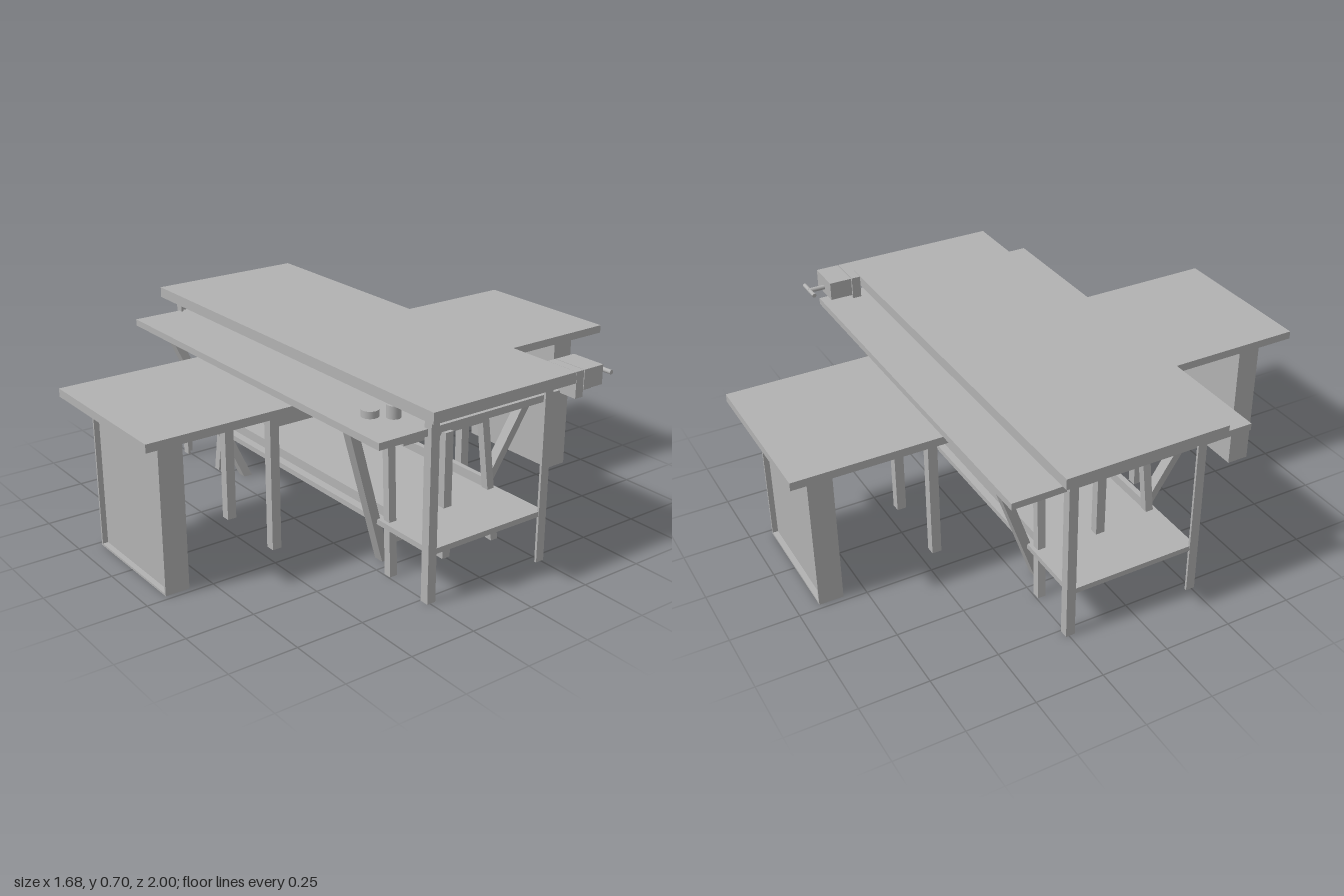
import * as THREE from 'three';

export function createModel() {
  const model = new THREE.Group();
  const grey = new THREE.MeshStandardMaterial({ color: 0xb2b2b2 });
  grey.name = 'plain grey';
  const signs = [-1, 1];

  function group(name) {
    const g = new THREE.Group();
    g.name = name;
    model.add(g);
    return g;
  }
  function add(parent, name, geometry) {
    const m = new THREE.Mesh(geometry, grey);
    m.name = name;
    parent.add(m);
    return m;
  }
  // box given by its limits on each axis
  function box(parent, name, x0, x1, y0, y1, z0, z1) {
    const m = add(parent, name, new THREE.BoxGeometry(x1 - x0, y1 - y0, z1 - z0));
    m.position.set((x0 + x1) / 2, (y0 + y1) / 2, (z0 + z1) / 2);
    return m;
  }
  // slanted beam with level ends, sheared between a bottom and a top point
  function beam(parent, name, bottom, top, w, d) {
    const h = top[1] - bottom[1];
    const geo = new THREE.BoxGeometry(w, h, d);
    const p = geo.attributes.position;
    for (let i = 0; i < p.count; i++) {
      const t = p.getY(i) / h + 0.5;
      p.setXYZ(i,
        p.getX(i) + bottom[0] + (top[0] - bottom[0]) * t,
        bottom[1] + h * t,
        p.getZ(i) + bottom[2] + (top[2] - bottom[2]) * t);
    }
    geo.computeVertexNormals();
    return add(parent, name, geo);
  }
  function cylinder(parent, name, r, length, x, y, z) {
    const m = add(parent, name, new THREE.CylinderGeometry(r, r, length, 24));
    m.position.set(x, y, z);
    return m;
  }

  // workbench with angle-iron legs and a low shelf
  const bench = group('workbench');
  box(bench, 'benchTop', -0.845, 0.84, 0.66, 0.70, -0.31, 0.30);
  box(bench, 'benchShelf', -0.785, 0.785, 0.175, 0.195, -0.25, 0.25);
  for (const sx of signs) for (const sz of signs) {
    const iron = new THREE.Group();
    iron.name = 'angleIronLeg';
    iron.position.set(sx * 0.77, 0, sz * 0.245);
    bench.add(iron);
    box(iron, 'legFlangeSide', sx > 0 ? 0.008 : -0.017, sx > 0 ? 0.017 : -0.008, 0, 0.66, -0.017, 0.017);
    box(iron, 'legFlangeFront', -0.017, 0.017, 0, 0.66, sz > 0 ? 0.008 : -0.017, sz > 0 ? 0.017 : -0.008);
    box(iron, 'mountingPlate', -0.03, 0.03, 0.65, 0.66, -0.03, 0.03);
  }

  // vise on the back corner
  const vise = group('vise');
  box(vise, 'fixedJaw', 0.705, 0.84, 0.605, 0.70, -0.345, -0.311);
  box(vise, 'movingJaw', 0.705, 0.84, 0.63, 0.70, -0.435, -0.348);
  cylinder(vise, 'screw', 0.009, 0.07, 0.775, 0.655, -0.465).rotation.x = Math.PI / 2;
  cylinder(vise, 'handle', 0.008, 0.10, 0.775, 0.655, -0.495).rotation.z = Math.PI / 2;

  // wide table on inward-slanting legs
  const wide = group('wideTable');
  box(wide, 'wideTop', -0.77, 0.77, 0.59, 0.615, -0.46, 0.455);
  for (const sx of signs) for (const sz of signs)
    beam(wide, 'slantedLeg', [sx * 0.445, 0, sz * 0.18], [sx * 0.56, 0.59, sz * 0.41], 0.04, 0.035);

  // long desk standing on two panel boxes with a shallow recess
  const desk = group('longDesk');
  box(desk, 'deskTop', -0.305, 0.305, 0.56, 0.59, -1, 1);
  for (const s of signs) {
    const panel = new THREE.Group();
    panel.name = 'panelLeg';
    panel.rotation.y = s > 0 ? 0 : Math.PI;
    desk.add(panel);
    box(panel, 'panelCore', -0.23, 0.23, 0, 0.56, 0.83, 0.90);
    box(panel, 'panelBottomRim', -0.23, 0.23, 0, 0.008, 0.90, 0.92);
    for (const sx of signs)
      box(panel, 'panelSideRim', sx * 0.226 - 0.004, sx * 0.226 + 0.004, 0.008, 0.56, 0.90, 0.92);
  }

  // cross-shaped table with aprons and six straight legs
  const cross = group('crossTable');
  box(cross, 'lengthwiseTop', -0.575, 0.575, 0.545, 0.57, -0.2, 0.2);
  box(cross, 'crosswiseTop', -0.19, 0.19, 0.545, 0.56, -0.48, 0.48);
  for (const s of signs) {
    box(cross, 'endLeg', s * 0.558 - 0.016, s * 0.558 + 0.016, 0, 0.475, -0.017, 0.017);
    box(cross, 'endApron', s * 0.54 - 0.01, s * 0.54 + 0.01, 0.46, 0.545, -0.18, 0.18);
    box(cross, 'crossApron', -0.15, 0.15, 0.46, 0.545, s * 0.43 - 0.01, s * 0.43 + 0.01);
    for (const t of signs) {
      box(cross, 'sideLeg', t * 0.15 - 0.018, t * 0.15 + 0.018, 0, 0.545, s * 0.437 - 0.018, s * 0.437 + 0.018);
      box(cross, 'armApron', t * 0.15 - 0.01, t * 0.15 + 0.01, 0.46, 0.545, Math.min(s * 0.2, s * 0.43), Math.max(s * 0.2, s * 0.43));
    }
  }

  // low trestle with splayed legs and stretchers
  const trestle = group('trestle');
  for (const s of signs) {
    box(trestle, 'trestleApron', -0.49, 0.49, 0.46, 0.545, s * 0.2 - 0.01, s * 0.2 + 0.01);
    box(trestle, 'longStretcher', -0.52, 0.52, 0.2, 0.235, s * 0.215 - 0.01, s * 0.215 + 0.01);
    box(trestle, 'shortStretcher', s * 0.54 - 0.01, s * 0.54 + 0.01, 0.115, 0.135, -0.22, 0.22);
    for (const t of signs)
      beam(trestle, 'splayedLeg', [s * 0.555, 0, t * 0.23], [s * 0.5, 0.545, t * 0.205], 0.03, 0.03);
  }

  // case standing through the wide table, with a shallow dome beside it
  box(model, 'case', -0.43, 0.04, 0.46, 0.655, -0.19, 0.19);
  const dome = add(model, 'shallowDome', new THREE.SphereGeometry(1, 32, 6, 0, Math.PI * 2, 0, Math.PI / 2));
  dome.scale.set(0.25, 0.017, 0.11);
  dome.position.set(-0.05, 0.615, 0.11);

  // small pots on the wide table
  cylinder(model, 'lowPot', 0.03, 0.025, 0.575, 0.6275, 0.34);
  cylinder(model, 'tallPot', 0.025, 0.045, 0.627, 0.6375, 0.285);

  return model;
}
